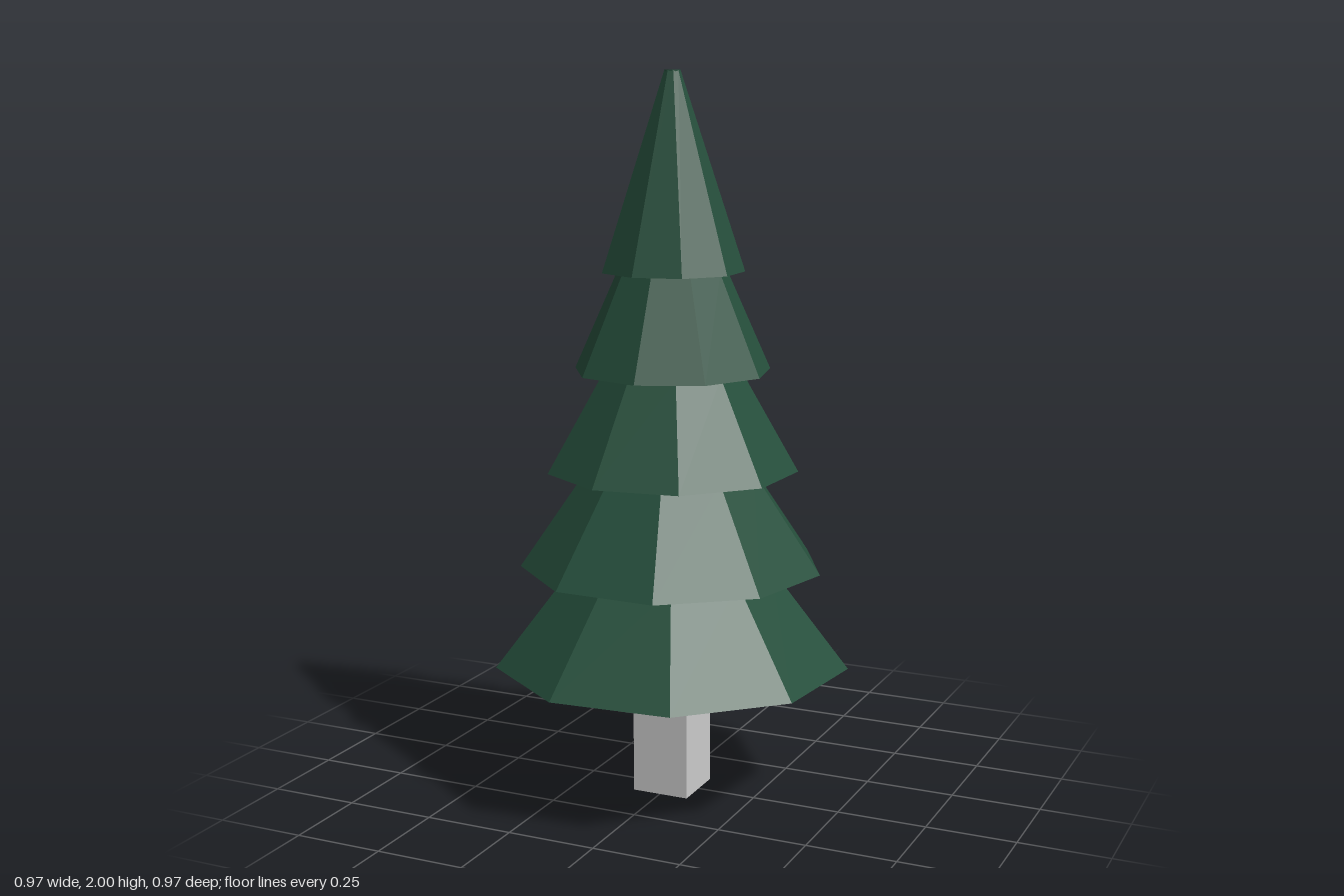
import * as THREE from 'three';

const CX = 0.003, CZ = 0.007; // shared axis of trunk and branches

export function createModel() {
  const tree = new THREE.Group();
  tree.name = 'firTree';

  const needles = new THREE.MeshStandardMaterial({ color: 0x264f3c, flatShading: true });
  needles.name = 'dark green';
  const wood = new THREE.MeshStandardMaterial({ color: 0xcccccc, flatShading: true });
  wood.name = 'light grey';

  const add = (name, geometry, material, y) => {
    const mesh = new THREE.Mesh(geometry, material);
    mesh.name = name;
    mesh.position.set(CX, y, CZ);
    tree.add(mesh);
  };

  // Square trunk
  add('trunk', new THREE.BoxGeometry(0.163, 0.373, 0.163), wood, 0.1885);

  // Tapered round core, seen at the foot and the tip
  add('core', new THREE.CylinderGeometry(0.022, 0.043, 2, 16), needles, 1);

  // Nine-sided branch tiers: bottom y, top y, bottom radius, top radius, turn in degrees
  const tiers = [
    [0.375, 0.652, 0.494, 0.277, -3.9],
    [0.65, 0.924, 0.42, 0.232, 2.4],
    [0.922, 1.197, 0.347, 0.19, -7.4],
    [1.195, 1.468, 0.272, 0.15, -23],
    [1.466, 1.999, 0.197, 0.022, -12],
  ];
  tiers.forEach(([y0, y1, r0, r1, turn], i) => {
    const start = Math.PI - THREE.MathUtils.degToRad(turn);
    const geometry = new THREE.CylinderGeometry(r1, r0, y1 - y0, 9, 1, false, start);
    add(`branchTier${i + 1}`, geometry, needles, (y0 + y1) / 2);
  });

  return tree;
}
